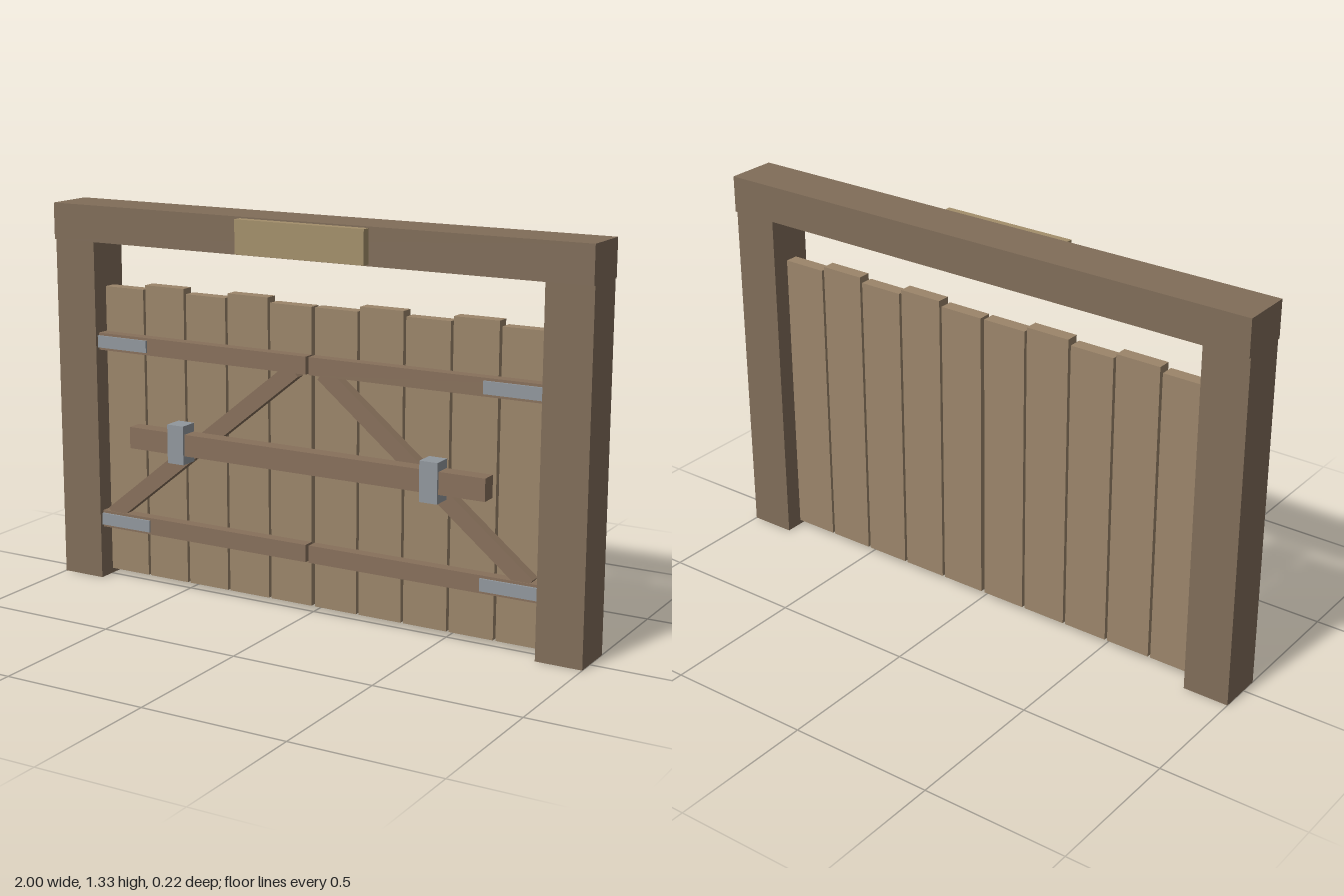
import * as THREE from 'three';

const material = (color) => new THREE.MeshStandardMaterial({ color, flatShading: true });

export function createModel() {
  const gate = new THREE.Group();
  gate.name = 'gate';
  const frameWood = material(0x806d59);
  const plankWood = material(0x9b856a);
  const railWood = material(0x87705b);
  const signWood = material(0xa38f6b);
  const metal = material(0x91979d);

  // Box given by its lower and upper limits on each axis
  function box(parent, name, mat, [x0, x1], [y0, y1], [z0, z1]) {
    const mesh = new THREE.Mesh(new THREE.BoxGeometry(x1 - x0, y1 - y0, z1 - z0), mat);
    mesh.position.set((x0 + x1) / 2, (y0 + y1) / 2, (z0 + z1) / 2);
    mesh.name = name;
    parent.add(mesh);
    return mesh;
  }

  // Frame lintel and blank sign board
  box(gate, 'lintel', frameWood, [-1, 1], [1.204, 1.33], [-0.108, 0.068]);
  box(gate, 'signBoard', signWood, [-0.24, 0.24], [1.21, 1.325], [0.06, 0.1]);

  // Locking bar across both doors
  box(gate, 'lockingBar', railWood, [-0.675, 0.675], [0.505, 0.58], [0.045, 0.1]);

  for (const side of [-1, 1]) {
    const span = (a, b) => (side > 0 ? [a, b] : [-b, -a]);
    const label = side > 0 ? 'left' : 'right';

    box(gate, label + 'Post', frameWood, span(0.84, 1), [0, 1.21], [-0.1, 0.06]);

    const door = new THREE.Group();
    door.name = label + 'Door';
    gate.add(door);

    // Vertical planks of alternating height
    for (let i = 0; i < 5; i++) {
      const x = 0.007 + i * 0.1675;
      box(door, 'plank', plankWood, span(x, x + 0.158), [0.02, i % 2 ? 1.06 : 1.043], [-0.043, 0.003]);
    }

    // Horizontal rails with hinge straps
    for (const y of [0.215, 0.855]) {
      box(door, 'rail', railWood, span(0.006, 0.84), [y - 0.03, y + 0.03], [0.001, 0.043]);
      box(door, 'hingeStrap', metal, span(0.637, 0.842), [y - 0.021, y + 0.021], [0.035, 0.05]);
    }

    // Diagonal brace, lower outer corner to upper centre
    const dx = 0.745, dy = 0.6;
    const brace = new THREE.Mesh(new THREE.BoxGeometry(Math.hypot(dx, dy), 0.056, 0.038), railWood);
    brace.position.set(side * 0.4275, 0.535, 0.021);
    brace.rotation.z = -side * Math.atan2(dy, dx);
    brace.name = 'brace';
    door.add(brace);

    // Bracket holding the locking bar
    box(door, 'barBracket', metal, span(0.449, 0.513), [0.475, 0.61], [0.04, 0.108]);
  }
  return gate;
}
